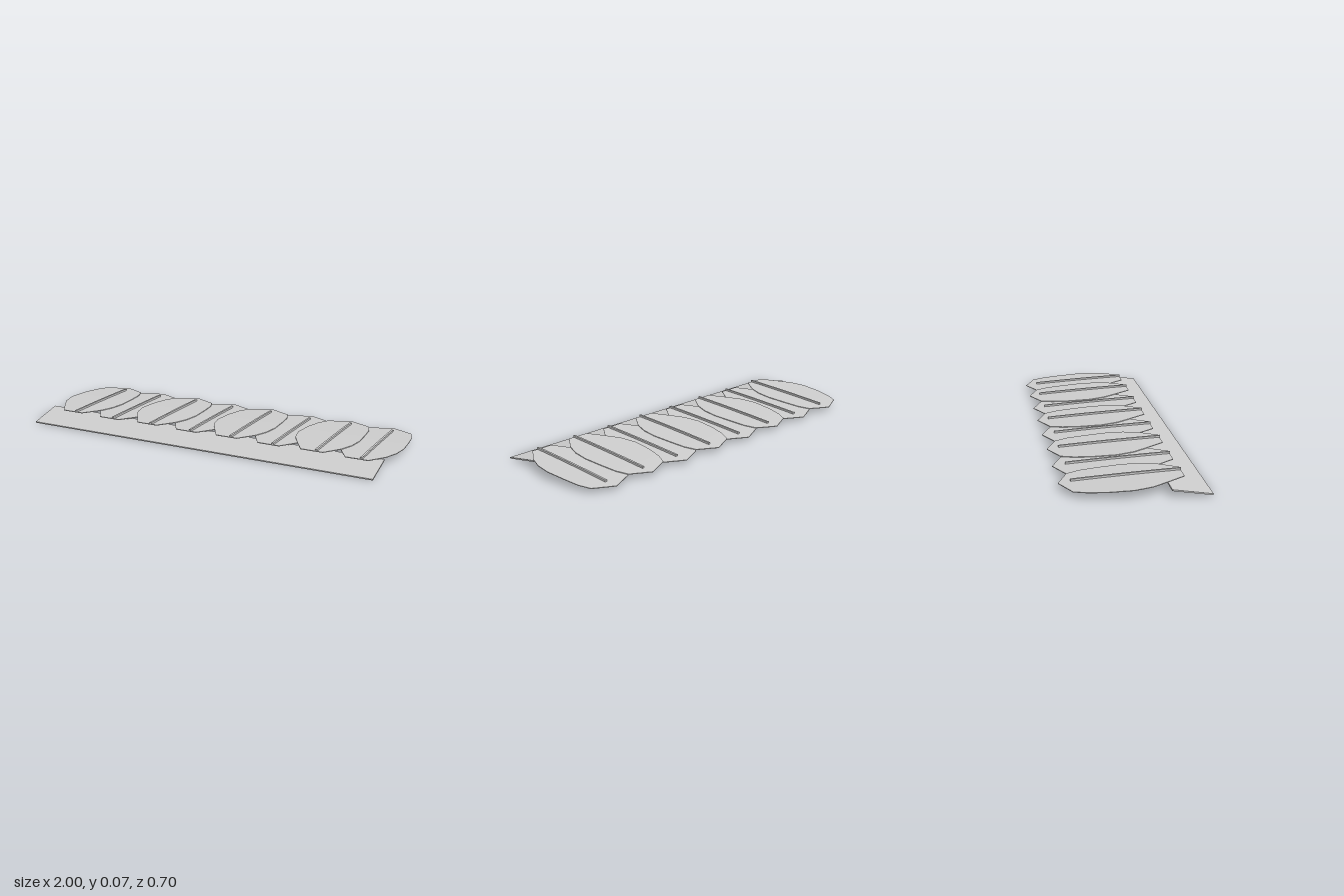
import * as THREE from 'three';

// outline of one scale, front to back: z, left edge, right edge (relative to its rib)
const ROWS = [
  [0.238, -0.085, 0.035], [0.15, -0.135, 0.1], [0.07, -0.177, 0.132], [-0.02, -0.195, 0.145],
  [-0.14, -0.182, 0.14], [-0.23, -0.158, 0.132], [-0.295, -0.125, 0.11], [-0.35, 0, 0],
];
const COUNT = 8, PITCH = 0.2365, START = -0.8, THICK = 0.0035;

// gentle downward bow from front to back
const bow = (z) => 0.0475 + 0.0528 * z - 0.0289 * z * z;

function reshape(geometry, rule) {
  const p = geometry.attributes.position;
  for (let i = 0; i < p.count; i++) p.setXYZ(i, ...rule(p.getX(i), p.getY(i), p.getZ(i)));
  geometry.computeVertexNormals();
  return geometry;
}

function scaleGeometry() {
  const n = ROWS.length - 1;
  return reshape(new THREE.BoxGeometry(1, THICK, 1, 4, 1, n), (x, y, z) => {
    const [rz, l, r] = ROWS[Math.round((0.5 - z) * n)];
    return [l + (r - l) * (x + 0.5), bow(rz) - THICK / 2 + y, rz];
  });
}

function ribGeometry(back) {
  const front = 0.24, length = front - back;
  return reshape(new THREE.BoxGeometry(0.011, 0.012, 1, 1, 1, 12), (x, y, z) => {
    const rz = back + (z + 0.5) * length;
    return [x + 0.003 - 0.018 * rz, bow(rz) + 0.004 + y, rz];
  });
}

export function createModel() {
  const model = new THREE.Group();
  const grey = new THREE.MeshStandardMaterial({ color: 0xcccccc });
  grey.name = 'grey';
  const add = (parent, name, geometry) => {
    const mesh = new THREE.Mesh(geometry, grey);
    mesh.name = name;
    parent.add(mesh);
    return mesh;
  };

  // overlapping scales, every second one lying a layer lower
  const scale = scaleGeometry();
  const ribs = [ribGeometry(-0.29), ribGeometry(-0.285)];
  for (let i = 0; i < COUNT; i++) {
    const leaf = new THREE.Group();
    leaf.name = 'scale' + (i + 1);
    leaf.position.set(START + i * PITCH, i % 2 ? -0.004 : 0, 0);
    add(leaf, 'blade', scale);
    add(leaf, 'rib', ribs[i % 2]);
    model.add(leaf);
  }

  // tilted board along the front
  const board = add(model, 'frontBoard', new THREE.BoxGeometry(1.95, 0.007, 0.198));
  board.position.set(-0.025, 0.0203, 0.251);
  board.rotation.x = Math.atan2(0.033, 0.195);
  return model;
}
